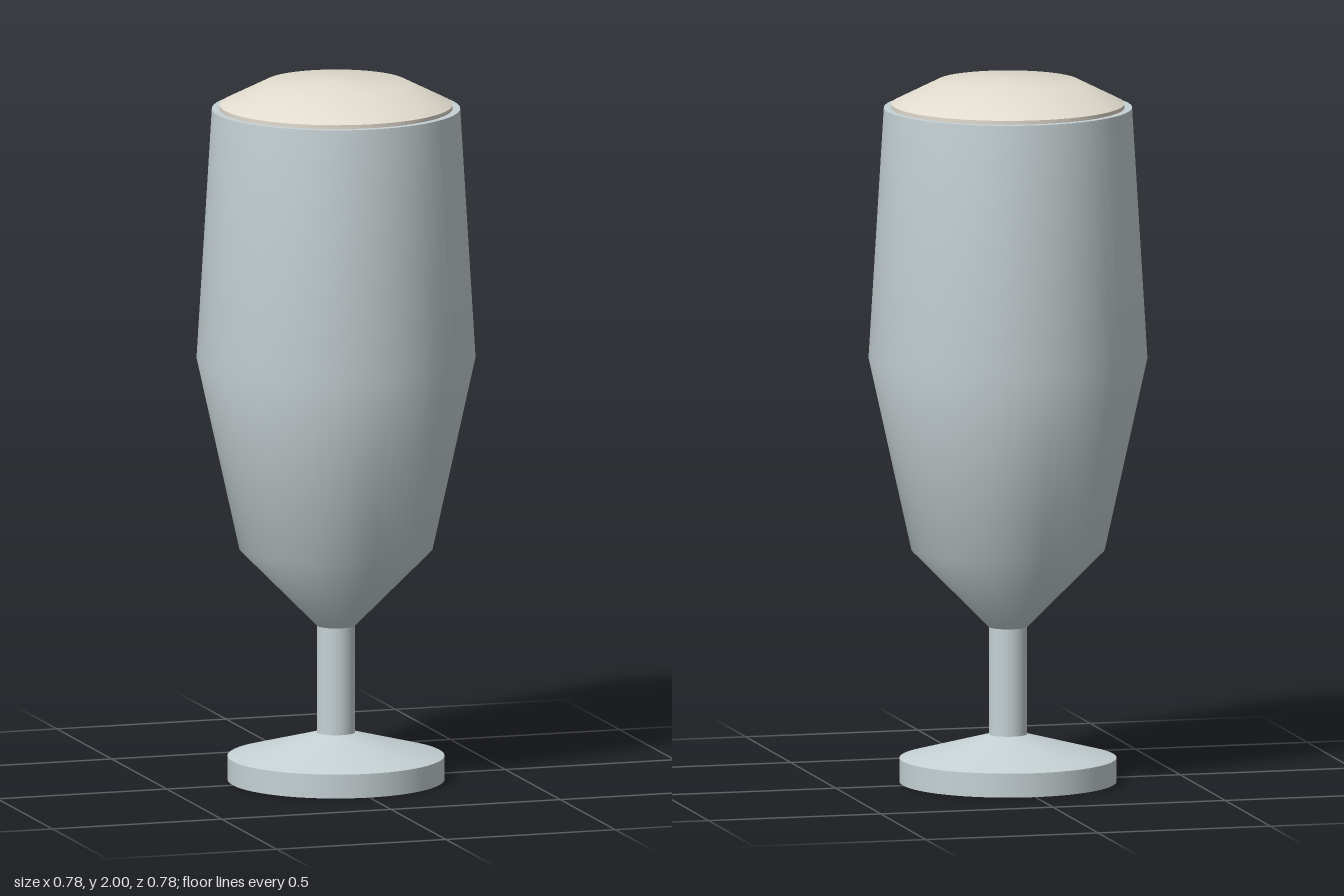
import * as THREE from 'three';

const SIDES = 64;

export function createModel() {
  const glass = new THREE.MeshStandardMaterial({ color: 0xc6d1d4 });
  glass.name = 'pale glass';
  const cream = new THREE.MeshStandardMaterial({ color: 0xe2dccf });
  cream.name = 'cream foam';

  const model = new THREE.Group();
  model.name = 'stemmedGlass';

  // One part made of lathed strips [radius, height], running so that normals face out.
  // Each strip is smooth; the joins between strips stay sharp.
  function turned(name, material, strips) {
    const part = new THREE.Group();
    part.name = name;
    strips.forEach((strip, i) => {
      const points = strip.map(([r, y]) => new THREE.Vector2(r, y));
      const mesh = new THREE.Mesh(new THREE.LatheGeometry(points, SIDES), material);
      mesh.name = `${name}Surface${i + 1}`;
      part.add(mesh);
    });
    model.add(part);
  }

  // Foot: underside, upright edge and sloping top
  turned('foot', glass, [
    [[0, 0], [0.305, 0]],
    [[0.305, 0], [0.305, 0.068]],
    [[0.305, 0.068], [0.054, 0.135]],
  ]);

  // Stem
  turned('stem', glass, [[[0.054, 0.135], [0.054, 0.44]]]);

  // Bowl: smooth bulging wall and flat rim
  turned('bowl', glass, [
    [[0.054, 0.44], [0.272, 0.66], [0.392, 1.205], [0.349, 1.915]],
    [[0.349, 1.915], [0.32, 1.915]],
  ]);

  // Foam: thin upright edge and shallow dome
  turned('foam', cream, [
    [[0.328, 1.915], [0.328, 1.926]],
    [[0.328, 1.926], [0.2, 1.99], [0, 2]],
  ]);

  return model;
}
